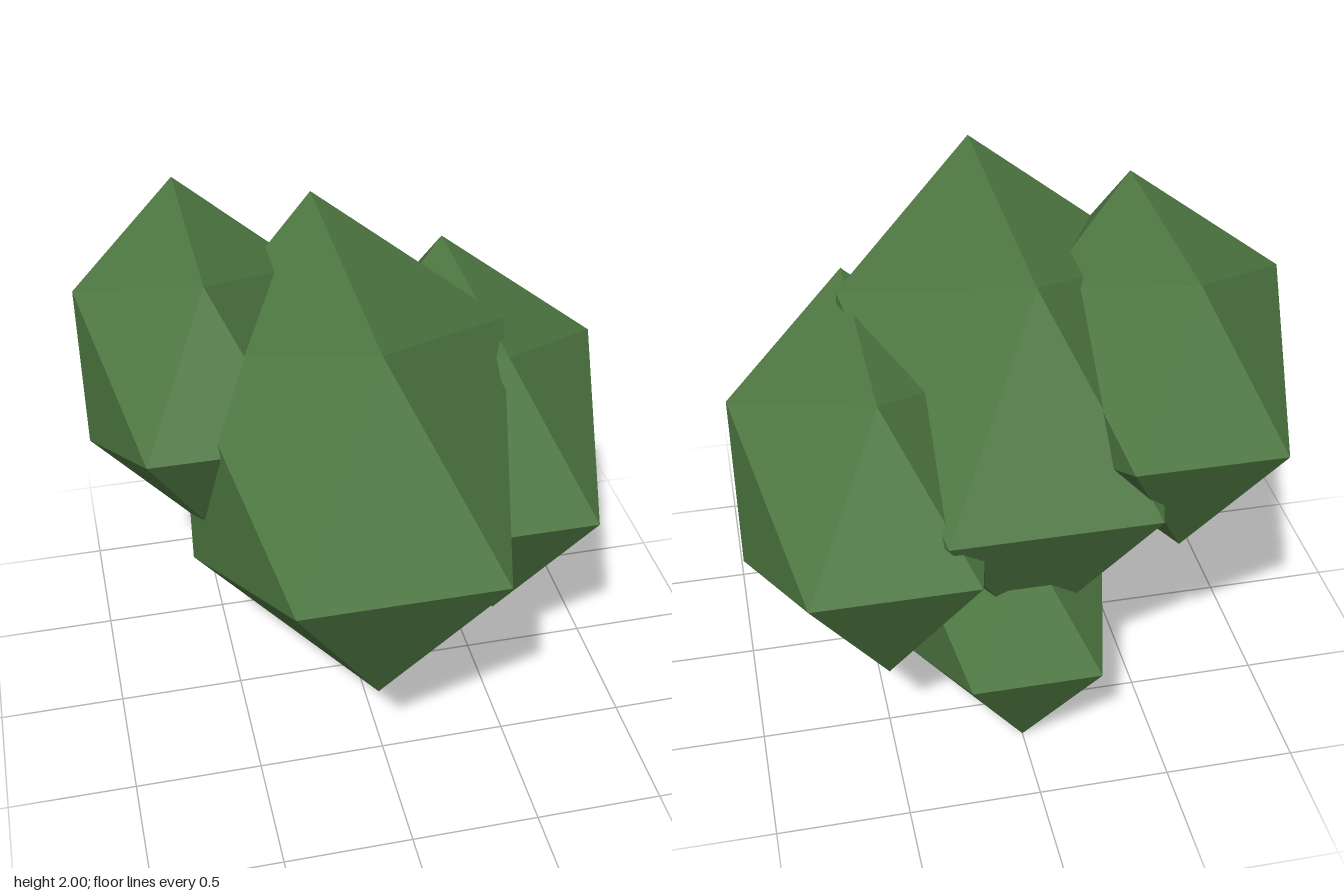
import * as THREE from 'three';

// Half extent of a unit icosahedron along each axis
const REACH = 0.85065;

export function createModel() {
  const group = new THREE.Group();
  group.name = 'foliageCluster';
  const leaf = new THREE.MeshStandardMaterial({ color: 0x4f7942, flatShading: true });

  // Icosahedron turned so its top edge runs front to back
  const clump = new THREE.IcosahedronGeometry(1, 0).rotateY(Math.PI / 2);

  // Each clump: name, centre, half extents
  const clumps = [
    ['mainClump', [-0.05, 1.2, 0.025], [0.61, 0.76, 0.975]],
    ['rightClump', [-0.565, 1.455, -0.305], [0.435, 0.545, 0.695]],
    ['leftClump', [0.515, 1.04, -0.22], [0.485, 0.6, 0.765]],
    ['lowerClump', [0, 0.492, -0.3], [0.393, 0.492, 0.627]],
  ];

  for (const [name, centre, half] of clumps) {
    const mesh = new THREE.Mesh(clump, leaf);
    mesh.name = name;
    mesh.position.set(...centre);
    mesh.scale.set(...half).divideScalar(REACH);
    group.add(mesh);
  }
  return group;
}
